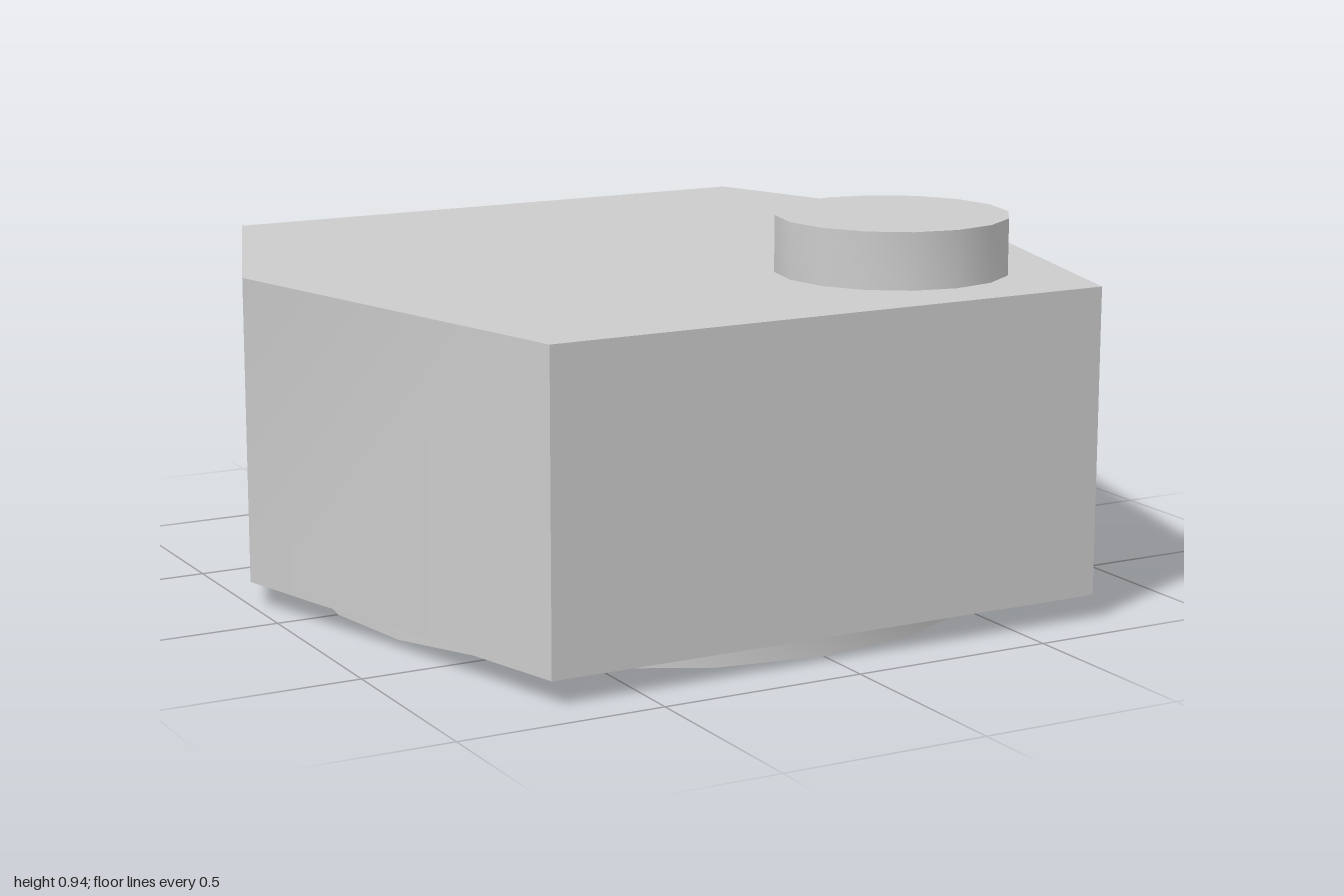
import * as THREE from 'three';
import { toCreasedNormals } from 'three/addons/utils/BufferGeometryUtils.js';

const CREASE = 0.8;
const BASE = 0.06, TOP = 0.805;
const material = new THREE.MeshStandardMaterial({ color: 0xcccccc, side: THREE.DoubleSide });

// Six-sided outline in (x, z), running from the front right round to the front left
const outline = [[-0.72, 0.89], [0.72, 0.89], [1, -0.17], [0.72, -0.89], [-0.72, -0.89], [-1, -0.17]];

function addMesh(group, name, geometry) {
  const mesh = new THREE.Mesh(toCreasedNormals(geometry, CREASE), material);
  mesh.name = name;
  group.add(mesh);
  return mesh;
}

function lathe(profile, sides) {
  return new THREE.LatheGeometry(profile.map(([r, y]) => new THREE.Vector2(r, y)), sides);
}

// Upright walls: one quad per side of the outline
function wallGeometry() {
  const positions = [], indices = [];
  const n = outline.length;
  outline.forEach(([x, z], i) => {
    positions.push(x, BASE, z, x, TOP, z);
    const a = 2 * i, b = 2 * ((i + 1) % n);
    indices.push(a, b, b + 1, a, b + 1, a + 1);
  });
  const geometry = new THREE.BufferGeometry();
  geometry.setAttribute('position', new THREE.Float32BufferAttribute(positions, 3));
  geometry.setIndex(indices);
  return geometry;
}

// Flat plate in the outline; facing is -1 for up and 1 for down
function plateGeometry(y, facing, holeRadius) {
  const shape = new THREE.Shape(outline.map(([x, z]) => new THREE.Vector2(x, facing * z)));
  if (holeRadius) {
    const hole = Array.from({ length: 20 }, (_, i) => {
      const t = (i / 20) * Math.PI * 2;
      return new THREE.Vector2(holeRadius * Math.cos(t), holeRadius * Math.sin(t));
    });
    shape.holes.push(new THREE.Path(hole));
  }
  return new THREE.ShapeGeometry(shape).rotateX(facing * Math.PI / 2).translate(0, y, 0);
}

export function createModel() {
  const model = new THREE.Group();
  model.name = 'hexagonalHousing';

  // Hollow body: thin shell with a round opening underneath
  const body = new THREE.Group();
  body.name = 'body';
  addMesh(body, 'walls', wallGeometry());
  addMesh(body, 'topPlate', plateGeometry(TOP, -1));
  addMesh(body, 'bottomPlate', plateGeometry(BASE, 1, 0.79));
  model.add(body);

  // Base ring with a narrow neck below the body
  addMesh(model, 'baseRing', lathe(
    [[0.79, BASE], [0.79, 0], [0.845, 0], [0.845, 0.05], [0.8, 0.05], [0.8, BASE]], 20));

  // Round button on the front left of the top
  const button = addMesh(model, 'button', lathe([[0.283, TOP], [0.283, 0.942], [0, 0.942]], 16));
  button.position.set(0.41, 0, 0.465);

  return model;
}
